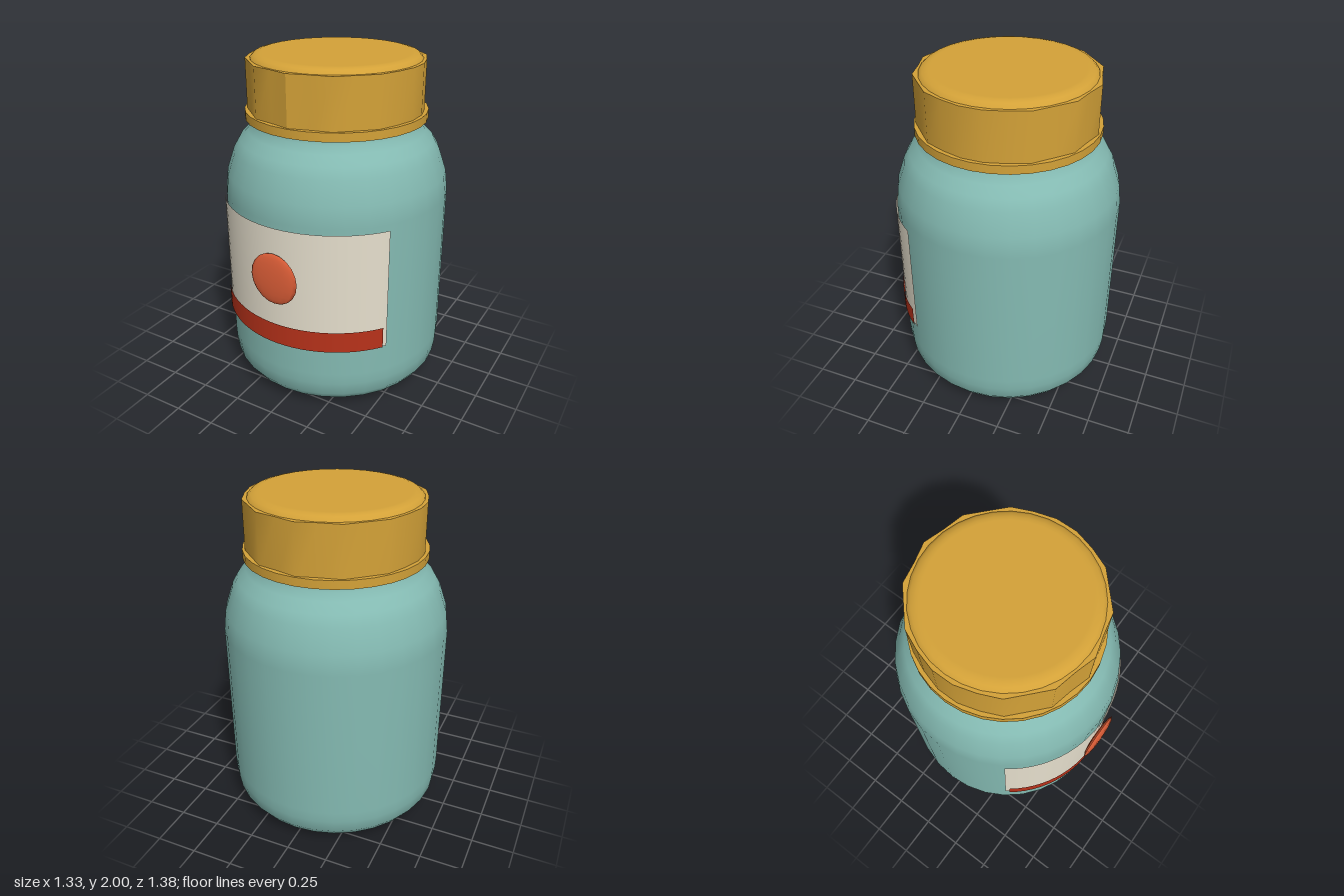
import * as THREE from 'three';

const mat = (color, side = THREE.FrontSide) => new THREE.MeshStandardMaterial({ color, side });

function add(group, name, geometry, material, y = 0, z = 0) {
  const mesh = new THREE.Mesh(geometry, material);
  mesh.name = name;
  mesh.position.set(0, y, z);
  group.add(mesh);
  return mesh;
}

const lathe = (pts, sides) =>
  new THREE.LatheGeometry(pts.map(([r, y]) => new THREE.Vector2(r, y)), sides);

// Curved sheet wrapped round the front of the jar
const wrap = (radius, height, halfAngle) =>
  new THREE.CylinderGeometry(radius, radius, height, 24, 1, true, -halfAngle, halfAngle * 2);

// Cylinder whose rim radius ripples to make a gripping edge
function flutedCylinder(radius, height, sides, flutes, depth) {
  const geo = new THREE.CylinderGeometry(radius, radius, height, sides);
  const pos = geo.attributes.position;
  for (let i = 0; i < pos.count; i++) {
    const x = pos.getX(i), z = pos.getZ(i);
    if (Math.hypot(x, z) < 0.01) continue;
    const k = 1 + (depth / radius) * Math.cos(flutes * Math.atan2(x, z));
    pos.setXYZ(i, x * k, pos.getY(i), z * k);
  }
  geo.computeVertexNormals();
  return geo;
}

export function createModel() {
  const model = new THREE.Group();
  model.name = 'jar';
  const round = new THREE.Group();
  round.name = 'jarAndLid';
  round.position.z = -0.025;
  model.add(round);

  const glass = mat(0x84bab2);
  const gold = mat(0xd4a238);

  // Jar body
  add(round, 'jarBody', lathe([
    [0, 0.005], [0.48, 0.005], [0.5, 0.006], [0.54, 0.018], [0.615, 0.07], [0.65, 0.12],
    [0.662, 0.2], [0.665, 0.27], [0.665, 1.2], [0.65, 1.32], [0.605, 1.45],
    [0.57, 1.51], [0.52, 1.56], [0.49, 1.6], [0.48, 1.64], [0.48, 1.7],
  ], 32), glass);

  // Lid: lower ring, fluted wall and rounded top
  add(round, 'lidRing', new THREE.CylinderGeometry(0.531, 0.531, 0.05, 32), gold, 1.658);
  add(round, 'lidWall', flutedCylinder(0.51, 0.335, 26, 12, 0.01), gold, 1.8025);
  add(round, 'lidTop', lathe([
    [0.49, 1.965], [0.487, 1.975], [0.468, 1.992], [0.44, 1.999], [0.42, 2], [0, 2],
  ], 32), gold);

  // Paper label and its coloured band
  add(round, 'label', wrap(0.674, 0.73, 0.96), mat(0xe6dfcd, THREE.DoubleSide), 0.805);
  add(round, 'labelBand', wrap(0.682, 0.13, 0.92), mat(0xb8321a, THREE.DoubleSide), 0.505);

  // Flattened round badge on the label
  const badge = add(model, 'labelBadge', new THREE.SphereGeometry(1, 12, 10), mat(0xdf5f38), 0.87, 0.667);
  badge.scale.set(0.15, 0.157, 0.023);

  return model;
}
